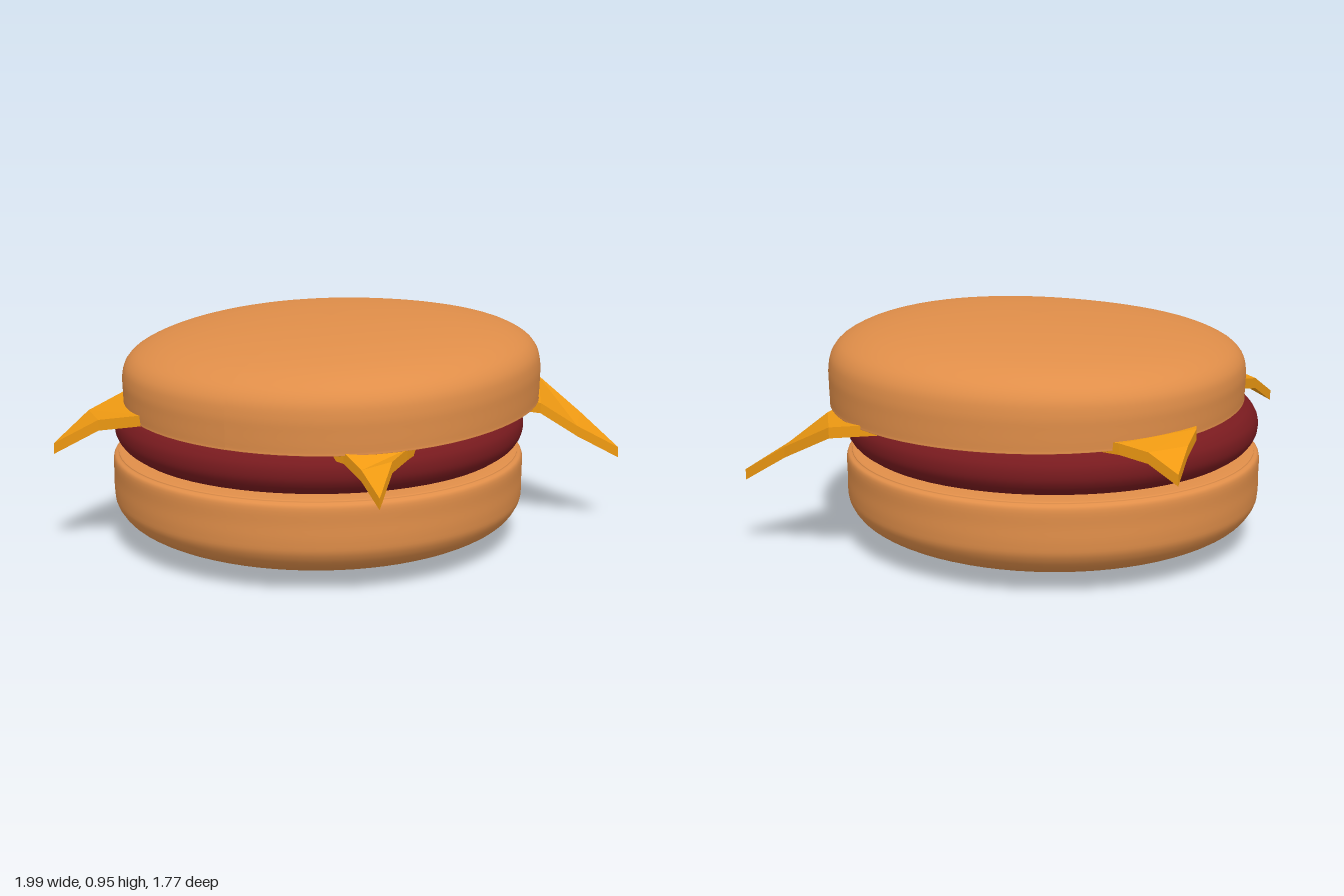
import * as THREE from 'three';

const bunMat = new THREE.MeshStandardMaterial({ color: 0xe08e49 });
const pattyMat = new THREE.MeshStandardMaterial({ color: 0x7a1b1f });
const cheeseMat = new THREE.MeshStandardMaterial({ color: 0xf09a12, flatShading: true });

// Turned solid from [radius, height] points, smoothed and closed on the axis
function turned(points, warp) {
  const curve = new THREE.SplineCurve(points.map(p => new THREE.Vector2(...p)));
  const profile = curve.getPoints(48);
  profile.forEach(p => { p.x = Math.max(p.x, 0); });
  const geo = new THREE.LatheGeometry(profile, 72);
  if (warp) {
    const pos = geo.attributes.position, v = new THREE.Vector3();
    for (let i = 0; i < pos.count; i++) {
      warp(v.fromBufferAttribute(pos, i));
      pos.setXYZ(i, v.x, v.y, v.z);
    }
    geo.computeVertexNormals();
  }
  return geo;
}

// Cheese flap: sections of [left, right] top points, running out to the tip
function flapGeometry(sections, thickness) {
  const verts = [], index = [];
  for (const [l, r] of sections) {
    verts.push(...l, ...r, r[0], r[1] - thickness, r[2], l[0], l[1] - thickness, l[2]);
  }
  for (let i = 0; i < sections.length - 1; i++) {
    for (let k = 0; k < 4; k++) {
      const a = i * 4 + k, b = i * 4 + (k + 1) % 4;
      index.push(a, b, b + 4, a, b + 4, a + 4);
    }
  }
  const geo = new THREE.BufferGeometry();
  geo.setAttribute('position', new THREE.Float32BufferAttribute(verts, 3));
  geo.setIndex(index);
  geo.computeVertexNormals();
  return geo;
}

export function createModel() {
  const group = new THREE.Group();
  const add = (name, geo, mat, x = 0, y = 0, z = 0) => {
    const mesh = new THREE.Mesh(geo, mat);
    mesh.name = name;
    mesh.position.set(x, y, z);
    group.add(mesh);
    return mesh;
  };

  // Bottom bun: rounded underside, nearly flat top
  add('bottomBun', turned([
    [0, 0.005], [0.28, 0.01], [0.52, 0.03], [0.7, 0.065], [0.81, 0.115], [0.86, 0.175],
    [0.87, 0.23], [0.87, 0.3], [0.87, 0.37], [0.85, 0.39], [0.8, 0.4], [0.4, 0.4], [0, 0.4],
  ]), bunMat, -0.13, 0, 0.012);

  // Patty: disc with a fully rounded edge
  add('patty', turned([
    [0, 0.4], [0.4, 0.4], [0.74, 0.402], [0.82, 0.425], [0.857, 0.465], [0.867, 0.508],
    [0.857, 0.55], [0.82, 0.59], [0.74, 0.608], [0.4, 0.608], [0, 0.608],
  ]), pattyMat, -0.125, 0, 0.012);

  // Top bun: slightly squarish, leaning crown, rim lifted at the sides
  add('topBun', turned([
    [0, 0.6], [0.4, 0.6], [0.78, 0.597], [0.855, 0.598], [0.862, 0.61], [0.865, 0.68],
    [0.865, 0.74], [0.85, 0.8], [0.8, 0.85], [0.69, 0.895], [0.5, 0.93], [0.26, 0.95], [0, 0.957],
  ], v => {
    const a = Math.atan2(v.z, v.x), r = Math.hypot(v.x, v.z);
    const t = (v.y - 0.6) / 0.36;
    const s = 1.012 - 0.012 * Math.cos(4 * a);
    v.y += t * (0.03 * v.x - 0.02 * v.z) + (1 - t) * 0.015 * r * r * Math.cos(2 * a) - (1 - t) * 0.008 * v.z;
    v.x *= s * 0.997;
    v.z *= s * 1.01;
  }), bunMat, -0.072, 0, -0.01);

  // Cheese: flat middle and four drooping corners
  const cheese = new THREE.Group();
  cheese.name = 'cheeseSlice';
  group.add(cheese);
  const middle = add('cheeseMiddle', new THREE.BoxGeometry(1.1, 0.03, 1.1), cheeseMat, -0.1, 0.6, 0);
  cheese.add(middle);
  const corners = {
    frontRight: [
      [[-0.4, 0.63, 0.68], [-0.78, 0.63, 0.3]],
      [[-0.53, 0.635, 0.73], [-0.85, 0.63, 0.42]],
      [[-0.73, 0.6, 0.77], [-0.885, 0.59, 0.62]],
      [[-0.92, 0.49, 0.82], [-0.92, 0.49, 0.82]],
    ],
    frontLeft: [
      [[0.56, 0.6, 0.45], [0.26, 0.605, 0.7]],
      [[0.572, 0.6, 0.58], [0.38, 0.6, 0.74]],
      [[0.577, 0.585, 0.72], [0.48, 0.555, 0.785]],
      [[0.58, 0.47, 0.83], [0.58, 0.47, 0.83]],
    ],
    backLeft: [
      [[0.38, 0.62, -0.71], [0.66, 0.6, -0.34]],
      [[0.56, 0.61, -0.77], [0.71, 0.575, -0.43]],
      [[0.79, 0.49, -0.69], [0.84, 0.465, -0.535]],
      [[0.99, 0.365, -0.64], [0.99, 0.365, -0.64]],
    ],
    backRight: [
      [[-0.82, 0.64, -0.35], [-0.5, 0.63, -0.7]],
      [[-0.85, 0.643, -0.48], [-0.61, 0.635, -0.745]],
      [[-0.853, 0.62, -0.65], [-0.73, 0.62, -0.78]],
      [[-0.855, 0.555, -0.82], [-0.855, 0.555, -0.82]],
    ],
  };
  for (const [side, sections] of Object.entries(corners)) {
    cheese.add(add(side + 'CheeseCorner', flapGeometry(sections, 0.045), cheeseMat));
  }
  return group;
}
